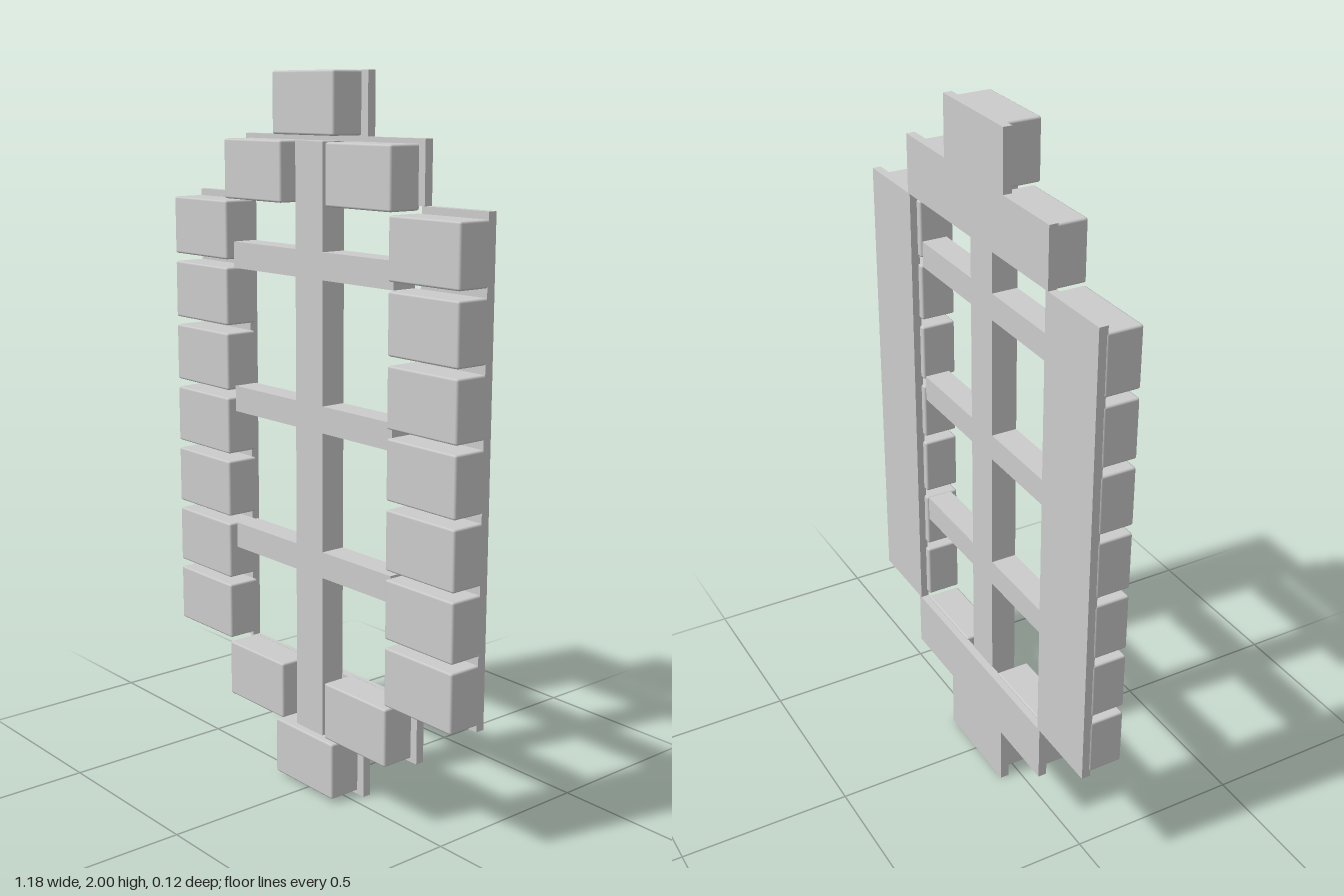
import * as THREE from 'three';
import { RoundedBoxGeometry } from 'three/addons/geometries/RoundedBoxGeometry.js';

export function createModel() {
  const model = new THREE.Group();
  model.name = 'stoneFramedWindow';
  const material = new THREE.MeshStandardMaterial({ color: 0xcccccc });

  const place = (parent, name, geometry, x, y, z) => {
    const mesh = new THREE.Mesh(geometry, material);
    mesh.name = name;
    mesh.position.set(x, y, z);
    parent.add(mesh);
  };
  // Plain block given by its extents
  const block = (parent, name, x0, x1, y0, y1, z0, z1) =>
    place(parent, name, new THREE.BoxGeometry(x1 - x0, y1 - y0, z1 - z0),
      (x0 + x1) / 2, (y0 + y1) / 2, (z0 + z1) / 2);
  const group = (name) => {
    const g = new THREE.Group();
    g.name = name;
    model.add(g);
    return g;
  };

  // Thin backing plates, stepped at the top and bottom
  const backing = group('backing');
  const plate = (name, x0, x1, y0, y1) => block(backing, name, x0, x1, y0, y1, -0.06, -0.035);
  plate('topPlate', -0.153, 0.15, 1.833, 2);
  plate('upperPlate', -0.368, 0.365, 1.668, 1.833);
  plate('lowerPlate', -0.368, 0.365, 0.175, 0.343);
  plate('bottomPlate', -0.153, 0.15, 0, 0.175);
  plate('leftPlate', 0.355, 0.587, 0.343, 1.668);
  plate('rightPlate', -0.59, -0.357, 0.343, 1.668);

  // Surround of slightly bevelled bricks
  const surround = group('surround');
  const brickShape = new RoundedBoxGeometry(0.252, 0.164, 0.1, 1, 0.006);
  const brick = (name, x, y) => place(surround, name, brickShape, x, y, 0.01);
  brick('topBrick', -0.002, 1.918);
  brick('bottomBrick', -0.002, 0.093);
  for (const [side, s] of [['left', 1], ['right', -1]]) {
    brick(side + 'UpperBrick', s * 0.218 - 0.002, 1.738);
    brick(side + 'LowerBrick', s * 0.218 - 0.002, 0.267);
    for (let i = 0; i < 7; i++) brick(side + 'SideBrick', s * 0.464 - 0.002, 0.442 + i * 0.1875);
  }

  // Window bars: one upright and three crossbars on each side of it
  const bars = group('windowBars');
  block(bars, 'mullion', -0.058, 0.055, 0.175, 1.82, -0.037, 0.037);
  for (const y of [0.677, 1.085, 1.498]) {
    block(bars, 'leftCrossbar', 0.055, 0.332, y - 0.037, y + 0.037, -0.037, 0.037);
    block(bars, 'rightCrossbar', -0.335, -0.058, y - 0.037, y + 0.037, -0.037, 0.037);
  }
  return model;
}
